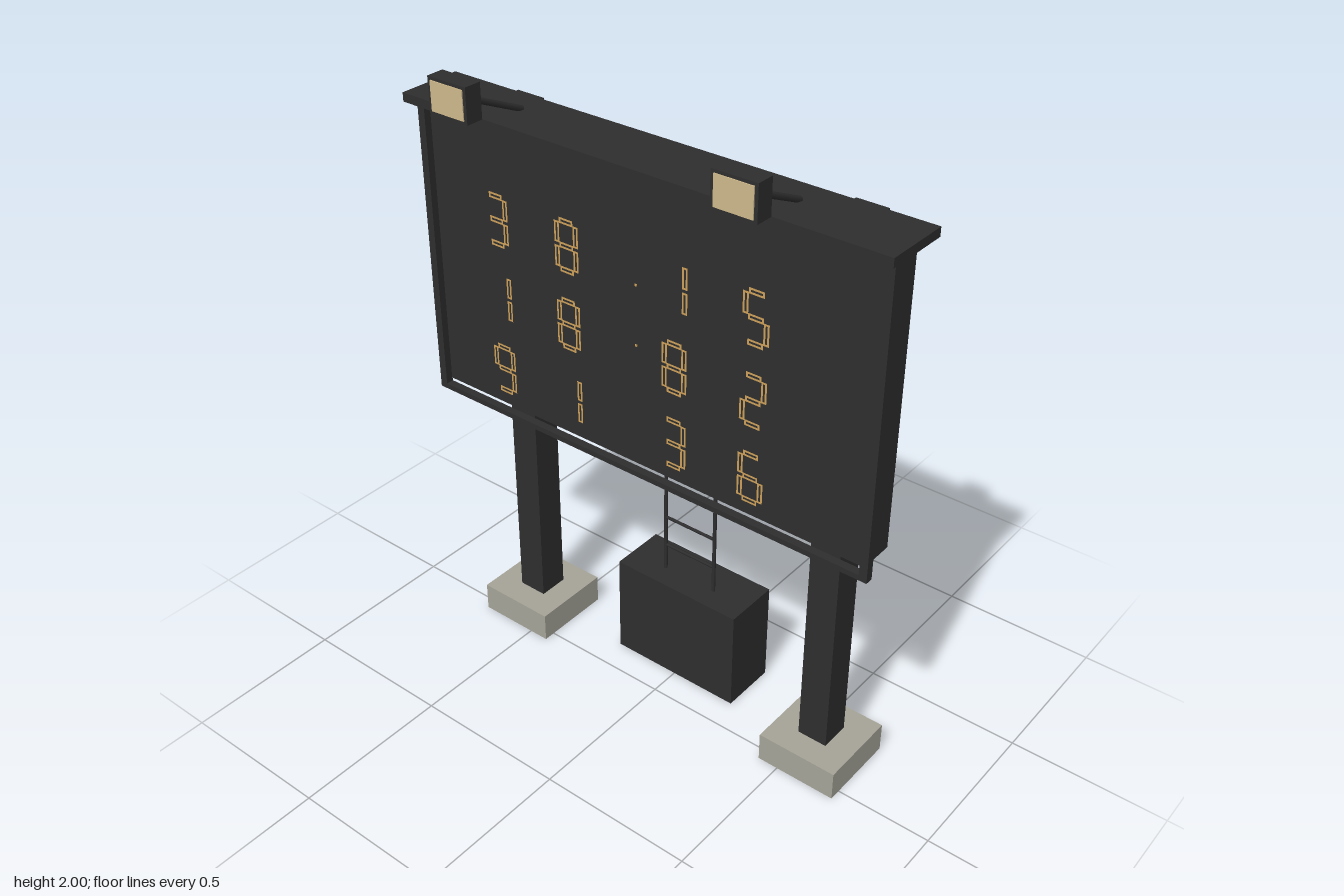
import * as THREE from 'three';
import { mergeGeometries } from 'three/addons/utils/BufferGeometryUtils.js';

const mat = (name, color, side = THREE.FrontSide) => {
  const m = new THREE.MeshStandardMaterial({ color, side });
  m.name = name;
  return m;
};

export function createModel() {
  const group = new THREE.Group();
  const dark = mat('dark painted metal', 0x2e2e2e, THREE.DoubleSide);
  const concrete = mat('concrete', 0xa6a498, THREE.DoubleSide);
  const lampGlass = mat('lamp glass', 0xcdb88a);
  const amber = mat('amber segments', 0xcb9f58, THREE.DoubleSide);

  const add = (name, geometry, material) => {
    const mesh = new THREE.Mesh(geometry, material);
    mesh.name = name;
    group.add(mesh);
    return mesh;
  };

  // box from min/max extents; openBottom drops the underside
  const box = (name, material, [x0, x1], [y0, y1], [z0, z1], openBottom = false) => {
    const g = new THREE.BoxGeometry(x1 - x0, y1 - y0, z1 - z0);
    if (openBottom) {
      const idx = Array.from(g.index.array);
      idx.splice(18, 6);
      g.setIndex(idx);
      g.clearGroups();
    }
    g.translate((x0 + x1) / 2, (y0 + y1) / 2, (z0 + z1) / 2);
    return add(name, g, material);
  };

  // round bar between two points
  const bar = (name, a, b, r) => {
    const p = new THREE.Vector3(...a), q = new THREE.Vector3(...b);
    const d = q.clone().sub(p);
    const mesh = add(name, new THREE.CylinderGeometry(r, r, d.length(), 8), dark);
    mesh.position.copy(p).add(q).multiplyScalar(0.5);
    mesh.quaternion.setFromUnitVectors(new THREE.Vector3(0, 1, 0), d.normalize());
  };

  // display board, front frame and roof cap
  box('displayBoard', dark, [-0.752, 0.752], [0.908, 1.816], [-0.043, 0.068]);
  box('frameBottom', dark, [-0.752, 0.752], [0.88, 0.897], [0.066, 0.091]);
  box('roofCap', dark, [-0.79, 0.79], [1.815, 1.842], [-0.077, 0.128]);

  // mirrored supports and floodlights
  for (const s of [-1, 1]) {
    const span = (a, b) => (s > 0 ? [a, b] : [-b, -a]);
    box('frameSide', dark, span(0.75, 0.775), [0.88, 1.816], [0.066, 0.091]);
    box('post', dark, span(0.515, 0.612), [0, 1.81], [-0.145, -0.046], true);
    box('footing', concrete, span(0.433, 0.696), [0, 0.096], [-0.226, 0.038], true);
    bar('lampArm', [s * 0.453, 1.843, 0.01], [s * 0.453, 1.948, 0.24], 0.009);
    box('lampHousing', dark, span(0.386, 0.52), [1.898, 2], [0.226, 0.28]);
    box('lampFace', lampGlass, span(0.396, 0.51), [1.907, 1.991], [0.279, 0.283]);
    bar('ladderRail', [s * 0.094, 0, -0.171], [s * 0.094, 0.945, -0.171], 0.006);
  }

  // cabinet and ladder rungs
  box('cabinet', dark, [-0.226, 0.226], [0, 0.343], [-0.285, -0.099], true);
  for (let i = 0; i < 5; i++) {
    const y = 0.435 + i * 0.106;
    bar('ladderRung', [-0.094, y, -0.171], [0.094, y, -0.171], 0.005);
  }

  // outlined seven-segment digits on the board face
  const W = 0.085, H = 0.165, T = 0.018, Z = 0.071;
  const ring = (cx, cy, w, h) => {
    const rect = (P, k) => {
      const a = w / 2 - k, b = h / 2 - k;
      return new P([[-a, -b], [a, -b], [a, b], [-a, b]].map(([x, y]) => new THREE.Vector2(x, y)));
    };
    const shape = rect(THREE.Shape, 0);
    shape.holes.push(rect(THREE.Path, 0.006));
    return new THREE.ShapeGeometry(shape).translate(cx, cy, Z);
  };
  const hx = (W - T) / 2, hy = (H - T) / 2;
  const horizontal = W - 2 * T, vertical = hy - T / 2;
  const segments = {
    a: [0, hy, horizontal, T], g: [0, 0, horizontal, T], d: [0, -hy, horizontal, T],
    b: [hx, hy / 2, T, vertical], c: [hx, -hy / 2, T, vertical],
    f: [-hx, hy / 2, T, vertical], e: [-hx, -hy / 2, T, vertical],
  };
  const lit = {
    1: 'bc', 2: 'abged', 3: 'abgcd', 5: 'afgcd', 6: 'afgecd', 8: 'abcdefg', 9: 'abcdfg',
  };
  const columns = [-0.512, -0.252, 0.122, 0.382];
  const rows = [[1.517, [3, 8, 1, 5]], [1.273, [1, 8, 8, 2]], [1.03, [9, 1, 3, 6]]];
  for (const [y, digits] of rows) {
    digits.forEach((n, i) => {
      const parts = [...lit[n]].map((k) => {
        const [dx, dy, w, h] = segments[k];
        return ring(columns[i] + dx, y + dy, w, h);
      });
      add('scoreDigit', mergeGeometries(parts), amber);
    });
  }

  // separator dots
  for (const y of [1.48, 1.295]) {
    box('separatorDot', amber, [-0.013, -0.007], [y - 0.003, y + 0.003], [0.067, 0.071]);
  }

  return group;
}
